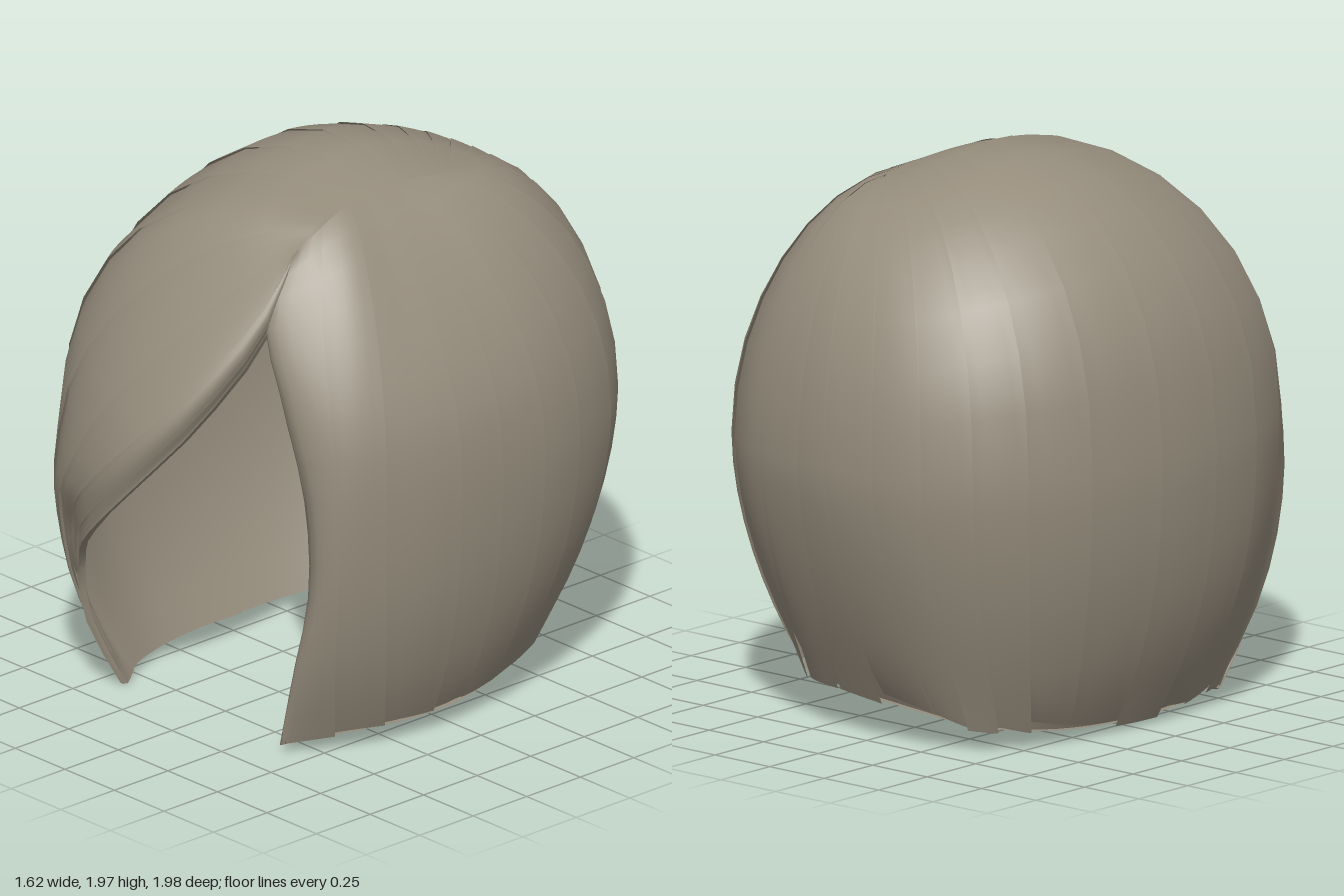
import * as THREE from 'three';
import { mergeGeometries } from 'three/addons/utils/BufferGeometryUtils.js';

const ROWS = 16;
const CENTRE = new THREE.Vector3(0, 1, 0);
const { sin, cos, PI, pow, abs, max, min, sign } = Math;

// A strand at an angle round the head (0 = front, PI / 2 = left):
// it arches from the parting to an oval waistline, then tucks in to the hem
function strand(angle) {
  const s = sin(angle), c = cos(angle), front = max(0, c), back = max(0, -c);
  const fullness = s < 0 ? 0.04 : c < 0 ? 0.085 : 0;
  const r = 1 + fullness * pow(sin(2 * angle), 2);
  const part = new THREE.Vector3(0.29 + 0.04 * front, 1.92 - 0.06 * front * front - 0.03 * back * back,
    0.5 * front - 0.32 * back);
  const waist = new THREE.Vector3(0.81 * r * s, 1.02, 0.985 * r * c);
  const hem = new THREE.Vector3((0.595 + 0.025 * s) * sign(s) * pow(abs(s), 0.6),
    0.07 + 0.02 * s + back * (0.09 + 0.07 * s), 0.72 * c);
  const hump = 0.02 - 0.14 * s * abs(s) * (s > 0 ? 1 - 0.4 * back : 1) - 0.05 * front;
  const roundness = s > 0 ? 1.3 : 0.6;
  return Array.from({ length: ROWS + 1 }, (_, i) => {
    const t = 2 * i / ROWS;
    if (t > 1) {
      const p = waist.clone().lerp(hem, pow(t - 1, 2.5 - 0.9 * back));
      p.y = waist.y + (hem.y - waist.y) * (t - 1);
      return p;
    }
    const p = part.clone().lerp(waist, sin(t * PI / 2));
    p.y = waist.y + (part.y - waist.y) * cos(t * PI / 2) + hump * pow(max(0, sin(t * PI)), roundness);
    return p;
  });
}

// A strand following a free path
function path(...pts) {
  return new THREE.CatmullRomCurve3(pts.map(p => new THREE.Vector3(...p))).getPoints(ROWS);
}

// A copy of a strand shifted most in its middle
function shifted(points, x, y, z) {
  const shift = new THREE.Vector3(x, y, z);
  return points.map((p, i) => p.clone().addScaledVector(shift, pow(max(0, sin(PI * i / ROWS)), 0.7)));
}

// Guide strands, from the folded fringe edge round the back to the curled left edge
const around = Array.from({ length: 15 }, (_, i) => strand(-PI * (0.25 + 1.43 * i / 14)));
const fringe = path([0.33, 1.82, 0.48], [0.32, 1.62, 0.64], [0.2, 1.36, 0.86], [0, 1.12, 0.99],
  [-0.23, 0.89, 0.97], [-0.42, 0.68, 0.83], [-0.46, 0.4, 0.76], [-0.42, 0.02, 0.6]);
const leftEdge = path([0.33, 1.82, 0.48], [0.345, 1.62, 0.6], [0.47, 1.35, 0.64], [0.56, 1, 0.62],
  [0.57, 0.68, 0.61], [0.5, 0.35, 0.62], [0.41, 0.05, 0.6]);
const sweep = shifted(fringe.map((p, i) => p.clone().lerp(around[0][i], 0.5)), -0.02, 0, 0.05);
const guides = [
  shifted(fringe, 0, -0.16, -0.04), fringe, sweep,
  ...around,
  leftEdge, shifted(leftEdge, -0.12, -0.05, -0.08),
];
const LAST = guides.length - 1;

// Smooth surface through the guides, pushed in towards the centre by inset
function surface(u, row, inset = 0) {
  const i = min(Math.floor(u), LAST - 1), t = u - i;
  const g = k => guides[min(max(k, 0), LAST)][row];
  const [a, b, c, d] = [g(i - 1), g(i), g(i + 1), g(i + 2)];
  const mix = k => 0.5 * (2 * b[k] + (c[k] - a[k]) * t
    + (2 * a[k] - 5 * b[k] + 4 * c[k] - d[k]) * t * t
    + (3 * b[k] - a[k] - 3 * c[k] + d[k]) * t * t * t);
  const p = new THREE.Vector3(mix('x'), mix('y'), mix('z'));
  const inward = CENTRE.clone().sub(p);
  if (row > ROWS / 2) inward.y = 0;
  return p.addScaledVector(inward.normalize(), inset);
}

// Grid of quads from a point function
function grid(cols, rows, point) {
  const pos = [], index = [];
  for (let c = 0; c <= cols; c++) {
    for (let r = 0; r <= rows; r++) {
      pos.push(...point(c, r).toArray());
      if (c < cols && r < rows) {
        const k = c * (rows + 1) + r, n = k + rows + 1;
        index.push(k, k + 1, n, n, k + 1, n + 1);
      }
    }
  }
  const geo = new THREE.BufferGeometry();
  geo.setAttribute('position', new THREE.Float32BufferAttribute(pos, 3));
  geo.setIndex(index);
  geo.computeVertexNormals();
  return geo;
}

export function createModel() {
  const group = new THREE.Group();
  const hair = new THREE.MeshStandardMaterial({ color: 0x958c7c, side: THREE.DoubleSide });
  hair.name = 'ash brown hair';
  const add = (name, geo) => {
    const mesh = new THREE.Mesh(geo, hair);
    mesh.name = name;
    group.add(mesh);
  };

  let seed = 7;
  const random = () => (seed = (seed * 16807) % 2147483647) / 2147483647;

  // Overlapping locks of uneven width: each dips under its neighbour and has a ragged tip
  const locks = [], COLS = 5;
  for (let u = 0, width; u < LAST; u += width) {
    width = min(0.45 + 0.55 * random(), LAST - u);
    const start = u, span = width;
    const tip = (random() - 0.5) * 0.04, slant = (random() - 0.5) * 0.04;
    locks.push(grid(COLS, ROWS, (c, r) => {
      const f = c / COLS;
      const p = surface(start + f * span, r, 0.01 * f * min(1, r / 5));
      if (r === ROWS) p.y = max(0, p.y + tip + slant * f);
      return p;
    }));
  }
  add('hairLocks', mergeGeometries(locks));

  // Smooth inside of the hair
  const N = LAST * 3, THICK = 0.025;
  add('innerLining', grid(N, ROWS, (c, r) => surface(c / 3, r, THICK)));

  // Closing strips along the hem and both front edges
  add('hemRim', grid(N, 1, (c, r) => surface(c / 3, ROWS, 0.005 + r * (THICK - 0.005))));
  add('fringeRim', grid(1, ROWS, (c, r) => surface(0, r, c * THICK)));
  add('leftEdgeRim', grid(1, ROWS, (c, r) => surface(LAST, r, c * THICK)));

  return group;
}
